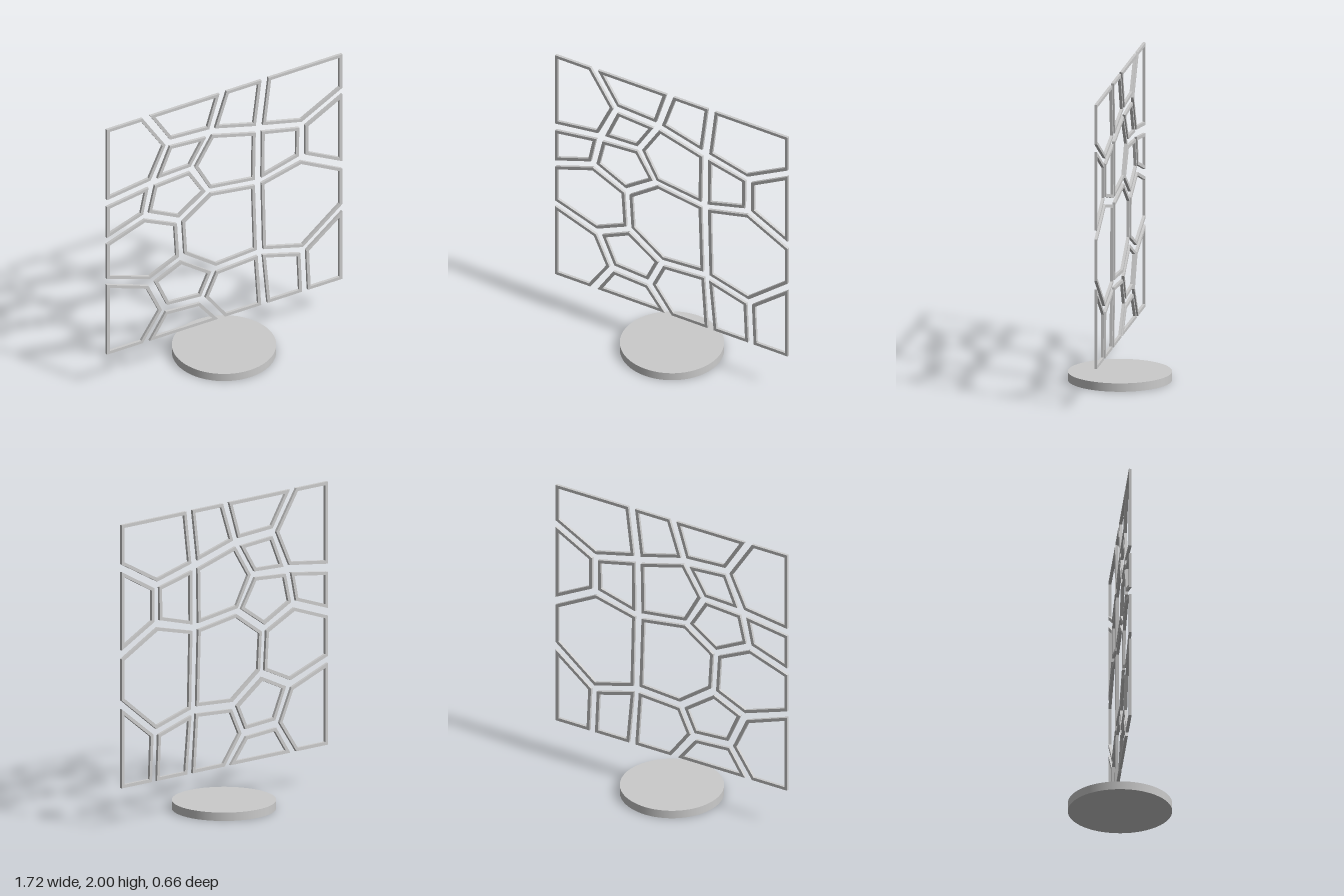
import * as THREE from 'three';

const BAND = 0.021, DEPTH = 0.018;
const SIDE = 0.862, BOTTOM = 0.274; // panel edges

// Clockwise cell outlines (x, y), grouped by row
const topRow = [
  [-SIDE, 2, -.60, 2, -.432, 1.74, -.542, 1.505, -SIDE, 1.461],
  [-.545, 2, -.037, 2, -.113, 1.753, -.40, 1.77],
  [.015, 2, .27, 2, .228, 1.663, -.07, 1.745],
  [.322, 2, SIDE, 2, SIDE, 1.742, .565, 1.581, .28, 1.652],
];
const upperRow = [
  [-.40, 1.718, -.135, 1.699, -.25, 1.512, -.492, 1.502],
  [-.09, 1.70, .228, 1.611, .222, 1.251, -.108, 1.295, -.217, 1.497],
  [.273, 1.605, .547, 1.541, .544, 1.324, .27, 1.25],
  [.591, 1.543, SIDE, 1.692, SIDE, 1.178, .591, 1.32],
  [-SIDE, 1.408, -.557, 1.453, -.597, 1.262, -SIDE, 1.17],
  [-.51, 1.453, -.253, 1.472, -.138, 1.284, -.335, 1.149, -.555, 1.26],
];
const middleRow = [
  [-SIDE, 1.121, -.583, 1.219, -.349, 1.108, -.333, .848, -.55, .749, -SIDE, .856],
  [-.10, 1.257, .222, 1.209, .237, .708, -.065, .687, -.295, .854, -.31, 1.108],
  [.271, 1.209, .563, 1.28, SIDE, 1.121, SIDE, .849, .573, .616, .283, .697],
];
const bottomRow = [
  [-SIDE, .81, -.558, .70, -.459, .483, -.60, BOTTOM, -SIDE, BOTTOM],
  [-.315, .808, -.098, .654, -.173, .49, -.422, .507, -.513, .715],
  [-.43, .457, -.18, .441, -.048, BOTTOM, -.548, BOTTOM],
  [-.06, .64, .242, .66, .268, BOTTOM, .003, BOTTOM, -.14, .468],
  [.279, .655, .555, .575, .568, BOTTOM, .314, BOTTOM],
  [.597, .583, SIDE, .793, SIDE, BOTTOM, .61, BOTTOM],
];

// Moves every edge inwards by d and mitres the corners
function inset(points, d) {
  const n = points.length;
  const normal = (a, b) => {
    const e = b.clone().sub(a).normalize();
    return new THREE.Vector2(e.y, -e.x);
  };
  return points.map((p, i) => {
    const n1 = normal(points[(i + n - 1) % n], p);
    const n2 = normal(p, points[(i + 1) % n]);
    const k = d / (1 + n1.dot(n2));
    return p.clone().add(n1.add(n2).multiplyScalar(k));
  });
}

// One closed polygon frame of constant width; the hole runs counter to the outline
function cellFrame(coords, material) {
  const outline = [];
  for (let i = 0; i < coords.length; i += 2) outline.push(new THREE.Vector2(coords[i], coords[i + 1]));
  const shape = new THREE.Shape(outline);
  shape.holes.push(new THREE.Path(inset(outline, BAND).reverse()));
  const geometry = new THREE.ExtrudeGeometry(shape, { depth: DEPTH, bevelEnabled: false });
  geometry.translate(0, 0, -DEPTH / 2);
  return new THREE.Mesh(geometry, material);
}

export function createModel() {
  const model = new THREE.Group();
  model.name = 'cellScreen';
  const material = new THREE.MeshStandardMaterial({ color: 0xcccccc });

  // Panel of separate polygon frames
  const rows = { topRow, upperRow, middleRow, bottomRow };
  for (const [rowName, cells] of Object.entries(rows)) {
    const row = new THREE.Group();
    row.name = rowName;
    cells.forEach((coords, i) => {
      const frame = cellFrame(coords, material);
      frame.name = `cellFrame${i + 1}`;
      row.add(frame);
    });
    model.add(row);
  }

  // Round base disc beneath the panel
  const base = new THREE.Mesh(new THREE.CylinderGeometry(0.332, 0.332, 0.055, 64), material);
  base.name = 'base';
  base.position.y = 0.0275;
  model.add(base);

  return model;
}
